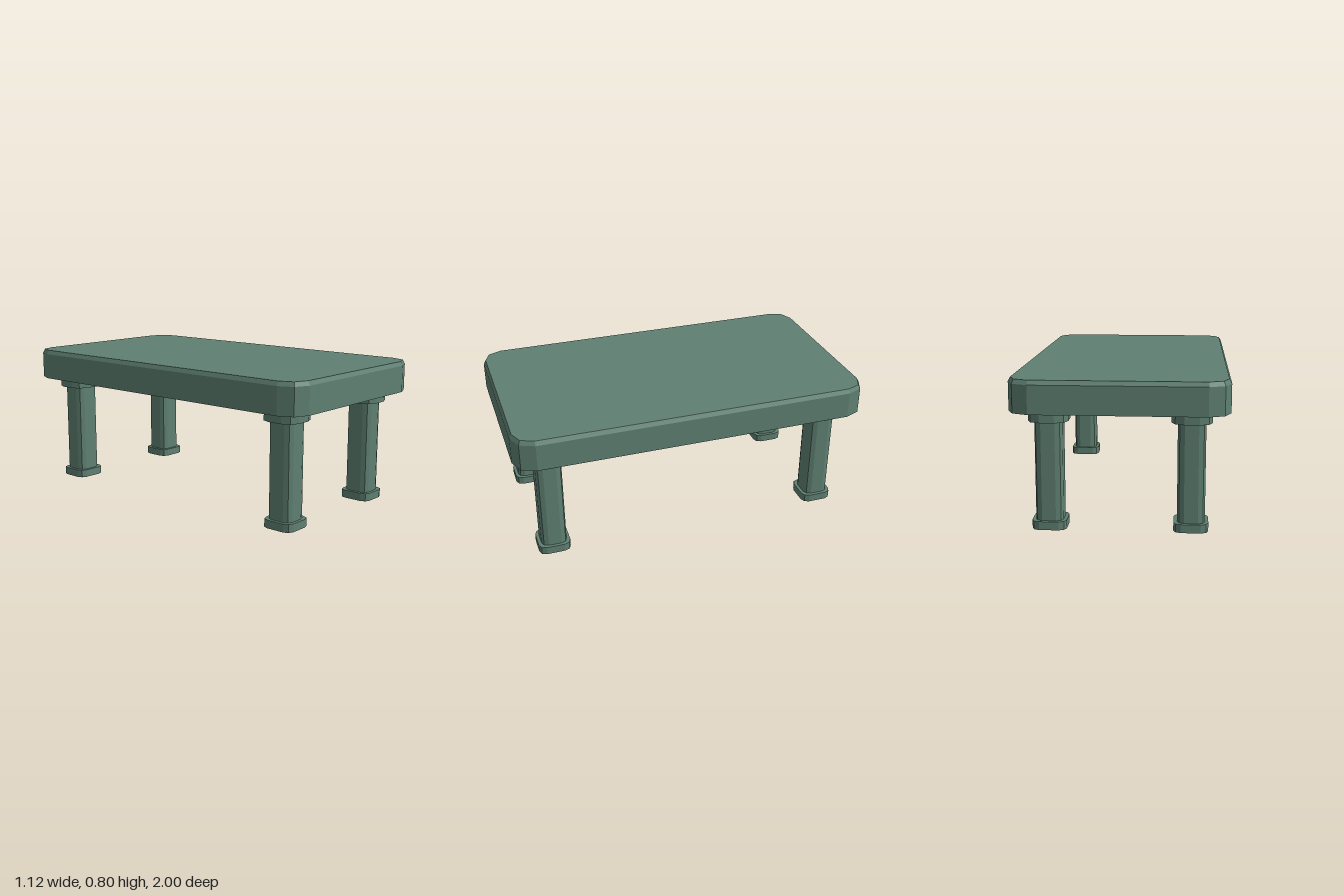
import * as THREE from 'three';

// Outline of a rectangle with corners rounded in two facets
function ring([hx, hz, r, y]) {
  const points = [];
  for (let corner = 0; corner < 4; corner++) {
    const sx = corner === 0 || corner === 3 ? 1 : -1;
    const sz = corner < 2 ? 1 : -1;
    for (let i = 0; i <= 2; i++) {
      const a = (corner + i / 2) * Math.PI / 2;
      points.push(new THREE.Vector3(
        sx * (hx - r) + r * Math.cos(a), y, sz * (hz - r) + r * Math.sin(a)));
    }
  }
  return points;
}

// Skin through rings [halfX, halfZ, cornerRadius, y]; a zero ring closes a cap
function loft(sections) {
  const rings = sections.map(ring);
  const pos = [];
  const add = (...tri) => tri.forEach((p) => pos.push(p.x, p.y, p.z));
  for (let k = 0; k < rings.length - 1; k++) {
    const lo = rings[k], hi = rings[k + 1];
    for (let i = 0; i < lo.length; i++) {
      const j = (i + 1) % lo.length;
      if (sections[k][0] > 0) add(lo[i], hi[i], lo[j]);
      if (sections[k + 1][0] > 0) add(hi[i], hi[j], lo[j]);
    }
  }
  const geo = new THREE.BufferGeometry();
  geo.setAttribute('position', new THREE.Float32BufferAttribute(pos, 3));
  geo.computeVertexNormals();
  return geo;
}

// Solid post with a square, softened section
const post = (half, r, y0, y1) => loft([
  [0, 0, 0, y0], [half, half, r, y0], [half, half, r, y1], [0, 0, 0, y1],
]);

export function createModel() {
  const table = new THREE.Group();
  table.name = 'table';
  const material = new THREE.MeshStandardMaterial({ color: 0x5f8072, flatShading: true });
  const addMesh = (parent, name, geometry) => {
    const mesh = new THREE.Mesh(geometry, material);
    mesh.name = name;
    parent.add(mesh);
  };

  // Slab with a bevelled top edge and a recessed underside
  addMesh(table, 'tableTop', loft([
    [0, 0, 0, 0.675],
    [0.53, 0.97, 0.085, 0.675],
    [0.53, 0.97, 0.085, 0.628],
    [0.56, 1, 0.115, 0.628],
    [0.56, 1, 0.115, 0.777],
    [0.547, 0.987, 0.102, 0.8],
    [0, 0, 0, 0.8],
  ]));

  // Four legs, each with a foot, a shaft and a collar
  const foot = post(0.09, 0.039, 0, 0.045);
  const shaft = post(0.072, 0.036, 0.045, 0.57);
  const collar = post(0.104, 0.065, 0.568, 0.676);
  for (const sz of [1, -1]) {
    for (const sx of [1, -1]) {
      const leg = new THREE.Group();
      leg.name = (sz > 0 ? 'front' : 'back') + (sx > 0 ? 'Left' : 'Right') + 'Leg';
      leg.position.set(sx * 0.366, 0, sz * 0.806);
      addMesh(leg, 'foot', foot);
      addMesh(leg, 'shaft', shaft);
      addMesh(leg, 'collar', collar);
      table.add(leg);
    }
  }
  return table;
}
